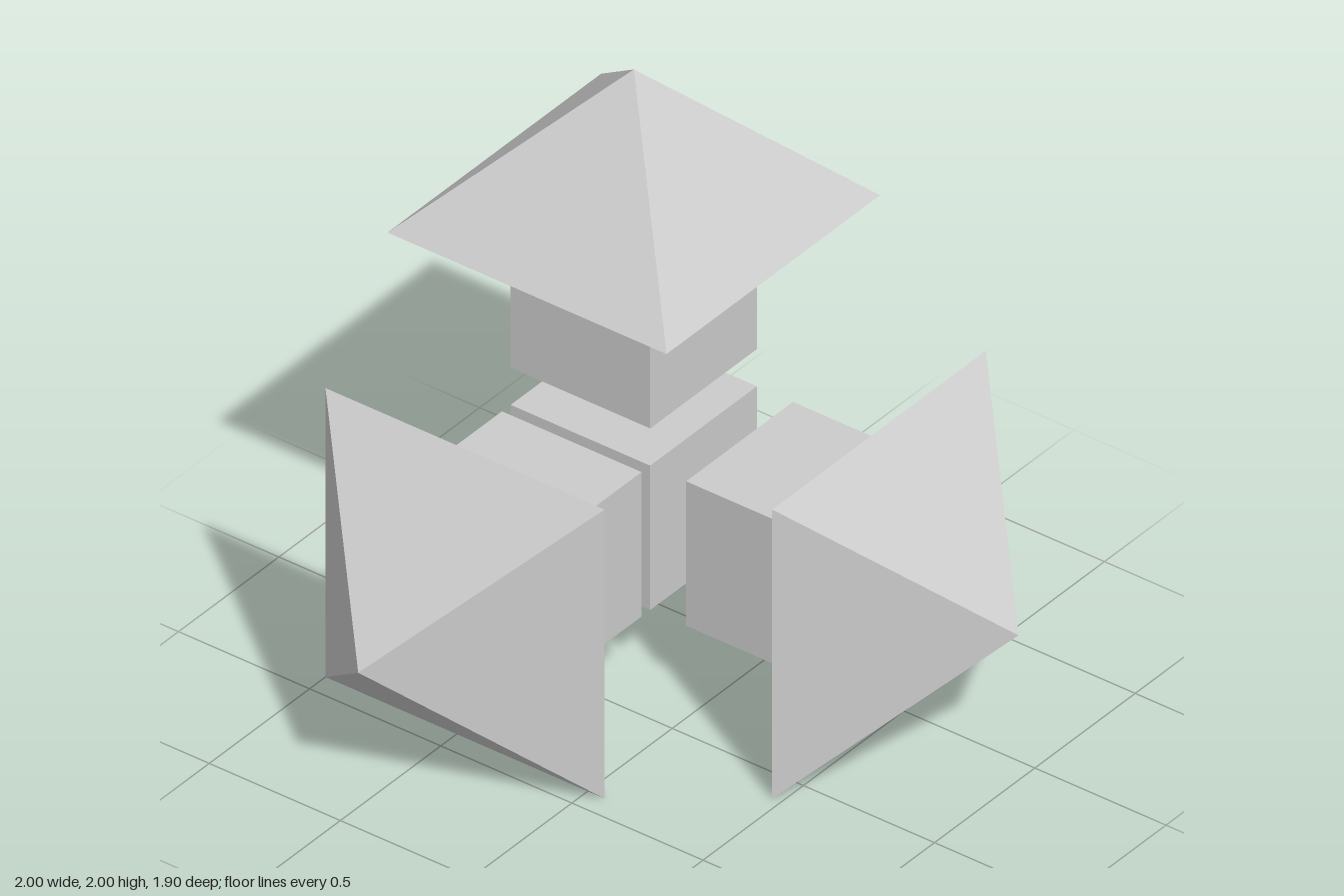
import * as THREE from 'three';

const S = 0.532;                                        // cube side = pyramid height
const CENTER = new THREE.Vector3(-0.468, 0.533, -0.42); // middle of the core cube

export function createModel() {
  const group = new THREE.Group();
  group.name = 'threeAxisArrows';
  const material = new THREE.MeshStandardMaterial({ color: 0xcccccc, flatShading: true });

  const cube = new THREE.BoxGeometry(S, S, S);
  // Square pyramid: base side 2S, height S, base resting on y = 0
  const pyramid = new THREE.ConeGeometry(S * Math.SQRT2, S, 4);
  pyramid.rotateY(Math.PI / 4).translate(0, S / 2, 0);

  const core = new THREE.Mesh(cube, material);
  core.name = 'coreCube';
  core.position.copy(CENTER);
  group.add(core);

  // One arrow per axis: stem cube plus pyramid head, base = distance of head from core centre
  const arrows = [
    { name: 'upArrow', base: 0.935, rotation: [0, 0, 0] },
    { name: 'leftArrow', base: 0.935, rotation: [0, 0, -Math.PI / 2] },
    { name: 'frontArrow', base: 0.841, rotation: [Math.PI / 2, 0, 0] },
  ];
  for (const { name, base, rotation } of arrows) {
    const arrow = new THREE.Group();
    arrow.name = name;
    const stem = new THREE.Mesh(cube, material);
    stem.name = 'stem';
    stem.position.y = base - S / 2;
    const head = new THREE.Mesh(pyramid, material);
    head.name = 'head';
    head.position.y = base;
    arrow.add(stem, head);
    arrow.position.copy(CENTER);
    arrow.rotation.set(...rotation);
    group.add(arrow);
  }
  return group;
}
